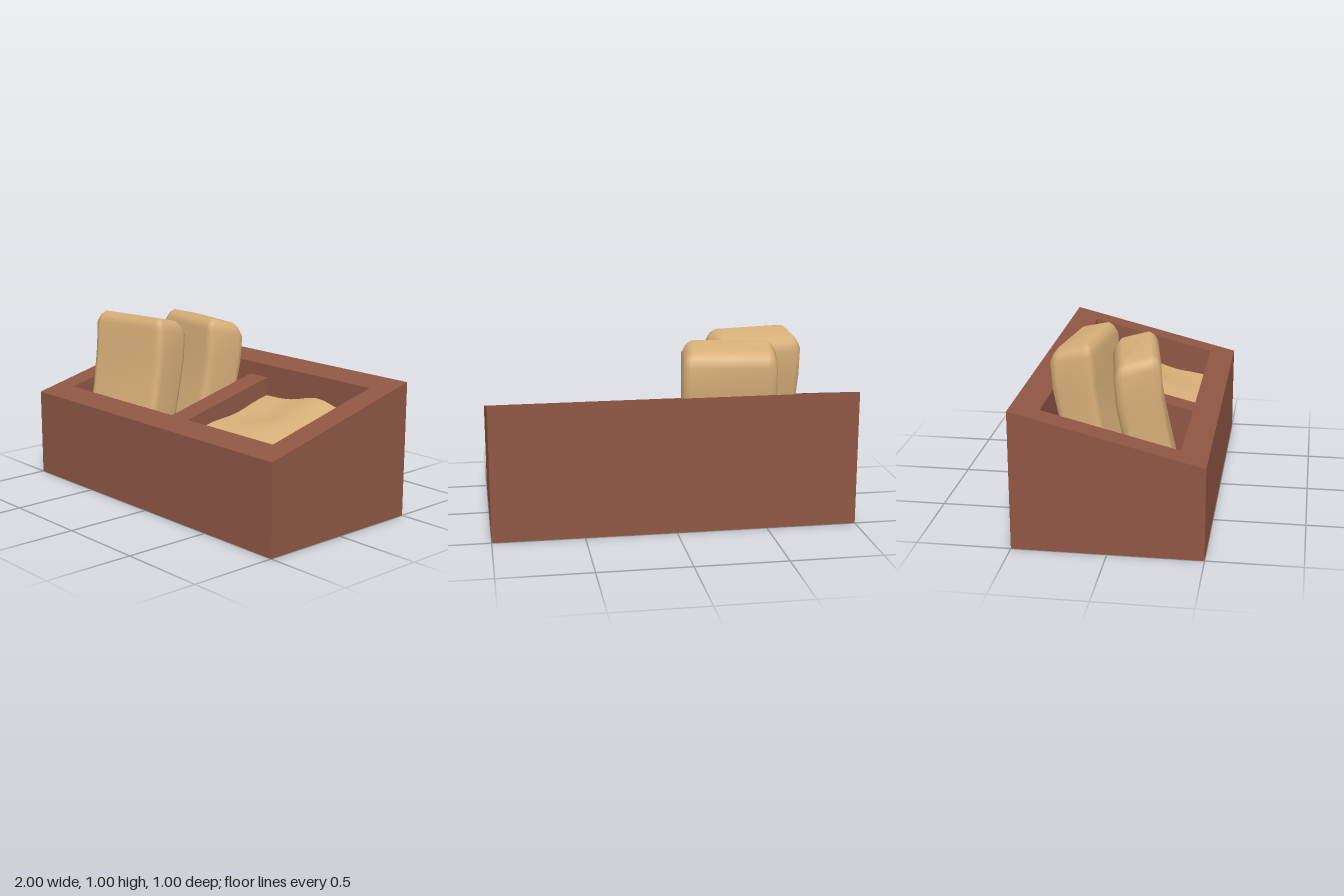
import * as THREE from 'three';

const clay = new THREE.MeshStandardMaterial({ color: 0x8f5644 });
clay.name = 'brick brown';
const tan = new THREE.MeshStandardMaterial({ color: 0xd7ae78 });
tan.name = 'warm tan';

const FLOOR = 0.14;
const slope = (z) => 0.625 - 0.25 * z; // height of the slanted rim

function add(group, name, geometry, material) {
  const mesh = new THREE.Mesh(geometry, material);
  mesh.name = name;
  group.add(mesh);
  return mesh;
}

// Slants every top vertex of a geometry, sunk below the rim by drop
function slant(geometry, threshold, drop) {
  const p = geometry.attributes.position;
  for (let i = 0; i < p.count; i++) {
    if (p.getY(i) > threshold) p.setY(i, slope(p.getZ(i)) - drop);
  }
  geometry.computeVertexNormals();
  return geometry;
}

function rectPath(path, hx, hz) {
  path.moveTo(-hx, -hz);
  path.lineTo(hx, -hz);
  path.lineTo(hx, hz);
  path.lineTo(-hx, hz);
  path.closePath();
  return path;
}

// Bent, bevelled block made from chamfered rectangular rings
function blockGeometry() {
  // y, forward shift, half width, half depth, corner cut, tilt of the ring
  const rings = [
    [0.14, 0.145, 0.215, 0.085, 0.02, 0],
    [0.2, 0.13, 0.25, 0.12, 0.045, 0],
    [0.38, 0.088, 0.255, 0.12, 0.045, 0.05],
    [0.57, 0.045, 0.258, 0.12, 0.045, 0.1],
    [0.75, 0.012, 0.262, 0.121, 0.045, 0.2],
    [0.907, 0, 0.262, 0.121, 0.045, 0.25],
    [0.95, 0, 0.242, 0.102, 0.035, 0.25],
    [0.976, 0, 0.214, 0.077, 0.018, 0.25],
  ];
  const pos = [];
  const idx = [];
  for (const [y, dz, w, d, c, tilt] of rings) {
    const corners = [
      [w - c, d], [w - c * 0.3, d - c * 0.3], [w, d - c],
      [w, c - d], [w - c * 0.3, c * 0.3 - d], [w - c, -d],
      [c - w, -d], [c * 0.3 - w, c * 0.3 - d], [-w, c - d],
      [-w, d - c], [c * 0.3 - w, d - c * 0.3], [c - w, d],
    ];
    for (const [x, z] of corners) pos.push(x, y + z * tilt, z + dz);
  }
  const n = 12;
  for (let r = 0; r < rings.length - 1; r++) {
    for (let i = 0; i < n; i++) {
      const a = r * n + i;
      const b = r * n + (i + 1) % n;
      idx.push(a, b, b + n, a, b + n, a + n);
    }
  }
  // End caps
  const top = (rings.length - 1) * n;
  for (let i = 1; i < n - 1; i++) {
    idx.push(top, top + i, top + i + 1);
    idx.push(0, i + 1, i);
  }
  const g = new THREE.BufferGeometry();
  g.setAttribute('position', new THREE.Float32BufferAttribute(pos, 3));
  g.setIndex(idx);
  g.computeVertexNormals();
  return g;
}

export function createModel() {
  const model = new THREE.Group();
  model.name = 'dividedTray';

  // Outer walls with a slanted rim
  const outline = rectPath(new THREE.Shape(), 1, 0.5);
  outline.holes.push(rectPath(new THREE.Path(), 0.86, 0.36));
  const walls = new THREE.ExtrudeGeometry(outline, { depth: 0.5, bevelEnabled: false });
  walls.rotateX(-Math.PI / 2);
  add(model, 'trayWalls', slant(walls, 0.25, 0), clay);

  // Floor filling the opening
  const floor = new THREE.BoxGeometry(1.72, FLOOR, 0.72);
  add(model, 'trayFloor', floor, clay).position.y = FLOOR / 2;

  // Divider, recessed below the rim
  const divider = new THREE.BoxGeometry(0.14, 0.3, 0.72);
  divider.translate(0, FLOOR + 0.15, 0);
  add(model, 'divider', slant(divider, 0.3, 0.075), clay);

  // Uneven filling of the right-hand compartment
  const fill = new THREE.PlaneGeometry(0.79, 0.72, 12, 12);
  fill.rotateX(-Math.PI / 2);
  fill.translate(0.465, 0, 0);
  const p = fill.attributes.position;
  for (let i = 0; i < p.count; i++) {
    const x = p.getX(i);
    const z = p.getZ(i);
    const hump = Math.exp(-(((x - 0.48) / 0.17) ** 2));
    const ripple = 0.012 * Math.sin(z * 13 + x * 3);
    p.setY(i, 0.45 - 0.23 * z + 0.055 * hump * (0.55 - 1.25 * z) + ripple * (1 - (z / 0.36) ** 2));
  }
  fill.computeVertexNormals();
  add(model, 'filling', fill, tan);

  // Two leaning blocks
  const block = blockGeometry();
  const front = add(model, 'frontBlock', block, tan);
  front.position.set(-0.54, 0, 0.088);
  front.rotation.y = 0.16;
  const back = add(model, 'backBlock', block, tan);
  back.position.set(-0.335, -0.01, -0.222);
  back.rotation.y = -0.14;

  return model;
}
